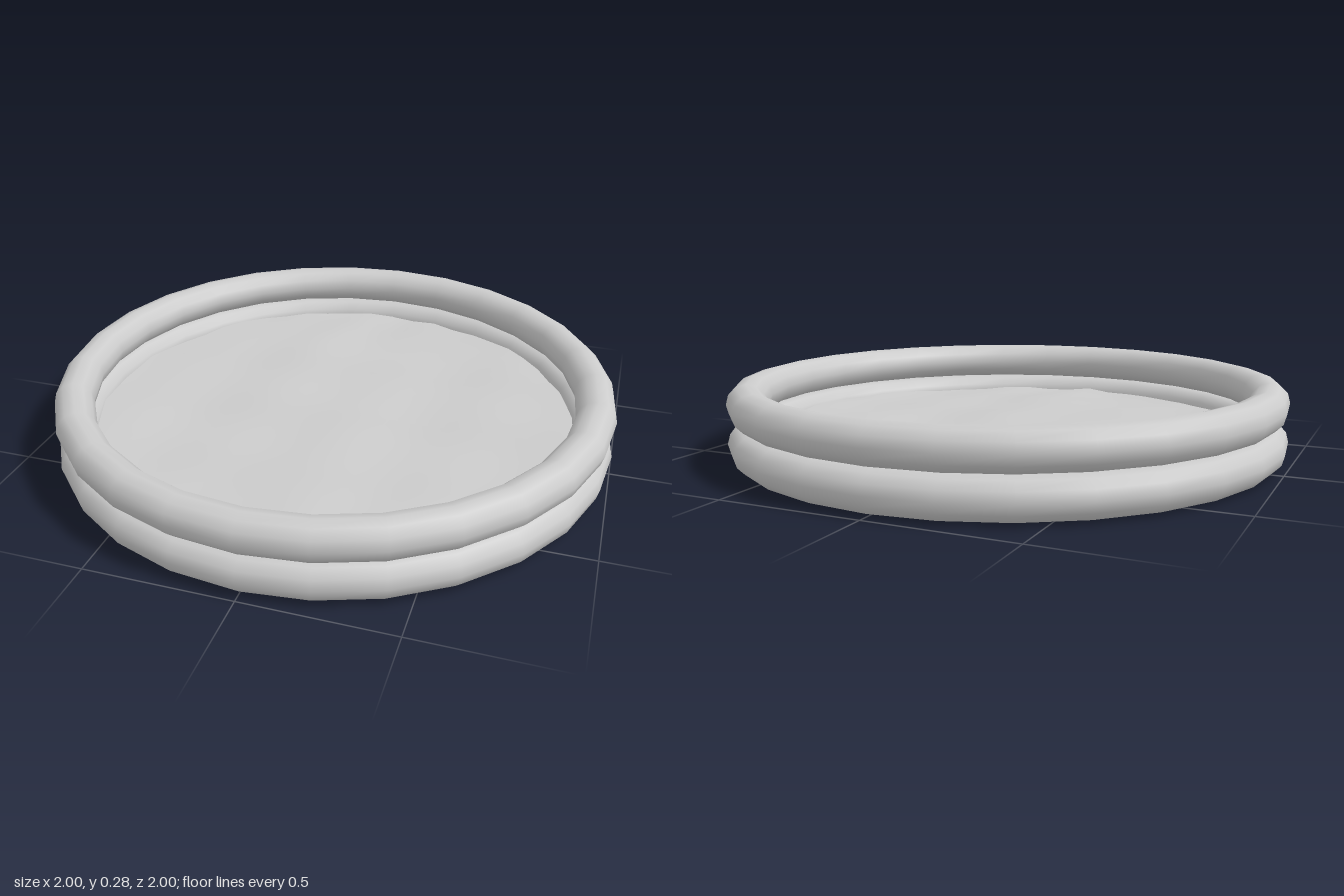
import * as THREE from 'three';

const TUBE = 0.069;
const RING = 1 - TUBE;

// Gentle crumples, growing stronger towards the front and back rims
function ripple(x, z) {
  const soft = Math.sin(4 * x + 7 * z + 0.6) * Math.sin(9 * z - 3 * x)
    + 0.6 * Math.sin(11 * x - 6 * z + 1.3) * Math.sin(5 * x + 8 * z);
  const sharp = Math.sin(19 * z + 8 * x) * Math.sin(16 * x - 9 * z + 0.8);
  return 0.007 * soft + 0.013 * Math.pow(Math.abs(z), 4) * sharp;
}

export function createModel() {
  const pool = new THREE.Group();
  pool.name = 'paddlingPool';
  const material = new THREE.MeshStandardMaterial({ color: 0xcccccc });

  // Two inflated rings stacked on each other
  const ringGeometry = new THREE.TorusGeometry(RING, TUBE, 12, 28).rotateX(Math.PI / 2);
  ['lowerRing', 'upperRing'].forEach((name, i) => {
    const ring = new THREE.Mesh(ringGeometry, material);
    ring.name = name;
    ring.position.y = TUBE * (1 + 2 * i);
    pool.add(ring);
  });

  // Thin crumpled sheet, its edge tucked into the lower ring
  const sheet = new THREE.RingGeometry(0, 0.9, 56, 22).rotateX(-Math.PI / 2);
  const p = sheet.attributes.position;
  for (let i = 0; i < p.count; i++) p.setY(i, 0.088 + ripple(p.getX(i), p.getZ(i)));
  sheet.computeVertexNormals();
  const floorMaterial = material.clone();
  floorMaterial.side = THREE.DoubleSide;
  const floor = new THREE.Mesh(sheet, floorMaterial);
  floor.name = 'floor';
  pool.add(floor);

  return pool;
}
